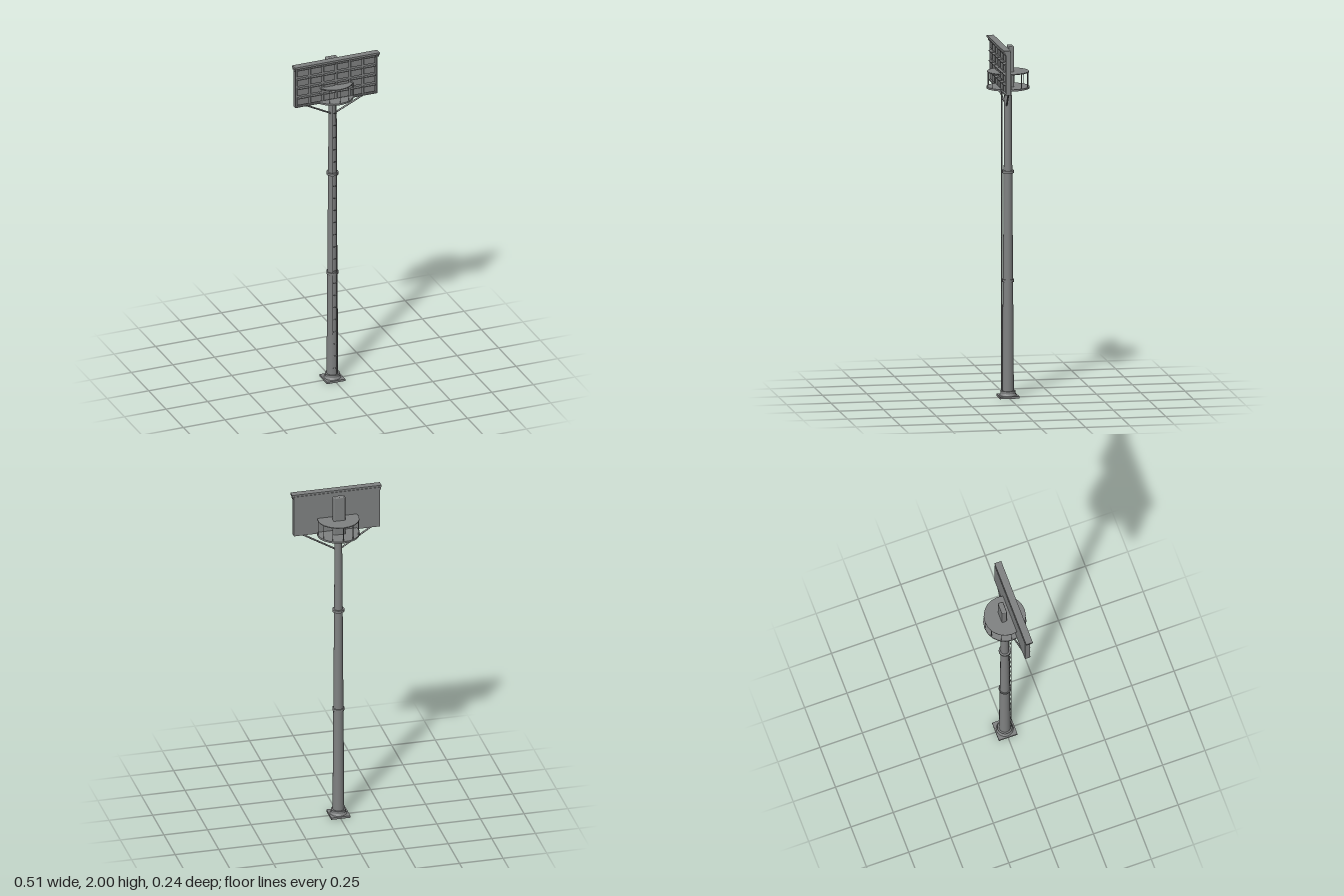
import * as THREE from 'three';
import { RoundedBoxGeometry } from 'three/addons/geometries/RoundedBoxGeometry.js';

const steel = new THREE.MeshStandardMaterial({ color: 0x808282 });
steel.name = 'grey steel';

export function createModel() {
  const model = new THREE.Group();
  model.name = 'floodlightMast';

  const add = (name, geometry, x, y, z, parent = model) => {
    const mesh = new THREE.Mesh(geometry, steel);
    mesh.name = name;
    mesh.position.set(x, y, z);
    parent.add(mesh);
    return mesh;
  };
  const box = (name, w, h, d, x, y, z, parent) =>
    add(name, new THREE.BoxGeometry(w, h, d), x, y, z, parent);
  const cyl = (name, rTop, rBottom, y0, y1, sides = 20, x = 0, z = 0, parent = model) =>
    add(name, new THREE.CylinderGeometry(rTop, rBottom, y1 - y0, sides), x, (y0 + y1) / 2, z, parent);
  // straight round bar between two points
  const bar = (name, a, b, r, parent) => {
    const from = new THREE.Vector3(...a), to = new THREE.Vector3(...b);
    const dir = to.clone().sub(from);
    const mid = from.clone().add(to).multiplyScalar(0.5);
    const mesh = add(name, new THREE.CylinderGeometry(r, r, dir.length(), 8), mid.x, mid.y, mid.z, parent);
    mesh.quaternion.setFromUnitVectors(new THREE.Vector3(0, 1, 0), dir.normalize());
  };
  const group = (name) => {
    const g = new THREE.Group();
    g.name = name;
    model.add(g);
    return g;
  };

  // foot
  box('basePlate', 0.11, 0.012, 0.11, 0, 0.006, 0);
  cyl('baseFlange', 0.04, 0.048, 0.012, 0.024);
  cyl('baseCollar', 0.042, 0.042, 0.024, 0.038);

  // tapered pole with joint rings
  cyl('pole', 0.02, 0.033, 0.012, 1.842);
  for (const y of [0.66, 1.274]) cyl('jointRing', 0.034, 0.034, y - 0.007, y + 0.007);

  // climbing ladder on the front of the pole
  const ladder = group('ladder');
  for (const s of [-1, 1]) bar('ladderRail', [s * 0.012, 0.04, 0.034], [s * 0.012, 1.75, 0.034], 0.002, ladder);
  for (let y = 0.08; y < 1.74; y += 0.075) bar('rung', [-0.012, y, 0.034], [0.012, y, 0.034], 0.002, ladder);

  // round service platform: floor, posts and upper deck
  const platform = group('platform');
  cyl('platformFloor', 0.12, 0.12, 1.745, 1.755, 20, 0, 0, platform);
  cyl('platformDeck', 0.117, 0.117, 1.836, 1.841, 20, 0, 0, platform);
  for (let i = 0; i < 12; i++) {
    const a = (i * Math.PI) / 6;
    cyl('platformPost', 0.002, 0.002, 1.755, 1.838, 6, Math.sin(a) * 0.115, Math.cos(a) * 0.115, platform);
  }

  // control cabinet behind the pole head
  add('cabinet', new RoundedBoxGeometry(0.068, 0.235, 0.03, 2, 0.006), 0, 1.8675, -0.014);

  // lamp panel with frame and top visor
  const panel = group('lampPanel');
  box('panelBack', 0.494, 0.243, 0.02, 0, 1.868, 0.04, panel);
  box('topVisor', 0.512, 0.012, 0.039, 0, 1.994, 0.0525, panel);
  box('bottomFrame', 0.494, 0.006, 0.016, 0, 1.75, 0.054, panel);
  for (const s of [-1, 1]) {
    box('sideFrame', 0.005, 0.243, 0.012, s * 0.2445, 1.868, 0.052, panel);
    box('visorEnd', 0.006, 0.016, 0.03, s * 0.25, 1.982, 0.05, panel);
  }

  // rows of floodlights, each with a small hood
  for (let row = 0; row < 4; row++) {
    for (let col = 0; col < 6; col++) {
      const x = (col - 2.5) * 0.08, y = 1.78 + row * 0.058;
      box('lamp', 0.066, 0.04, 0.008, x, y, 0.054, panel);
      box('lampHood', 0.068, 0.005, 0.016, x, y + 0.0215, 0.058, panel);
    }
  }

  // diagonal braces from pole to panel
  for (const s of [-1, 1]) bar('brace', [s * 0.012, 1.648, 0.01], [s * 0.2, 1.752, 0.034], 0.005);

  return model;
}
